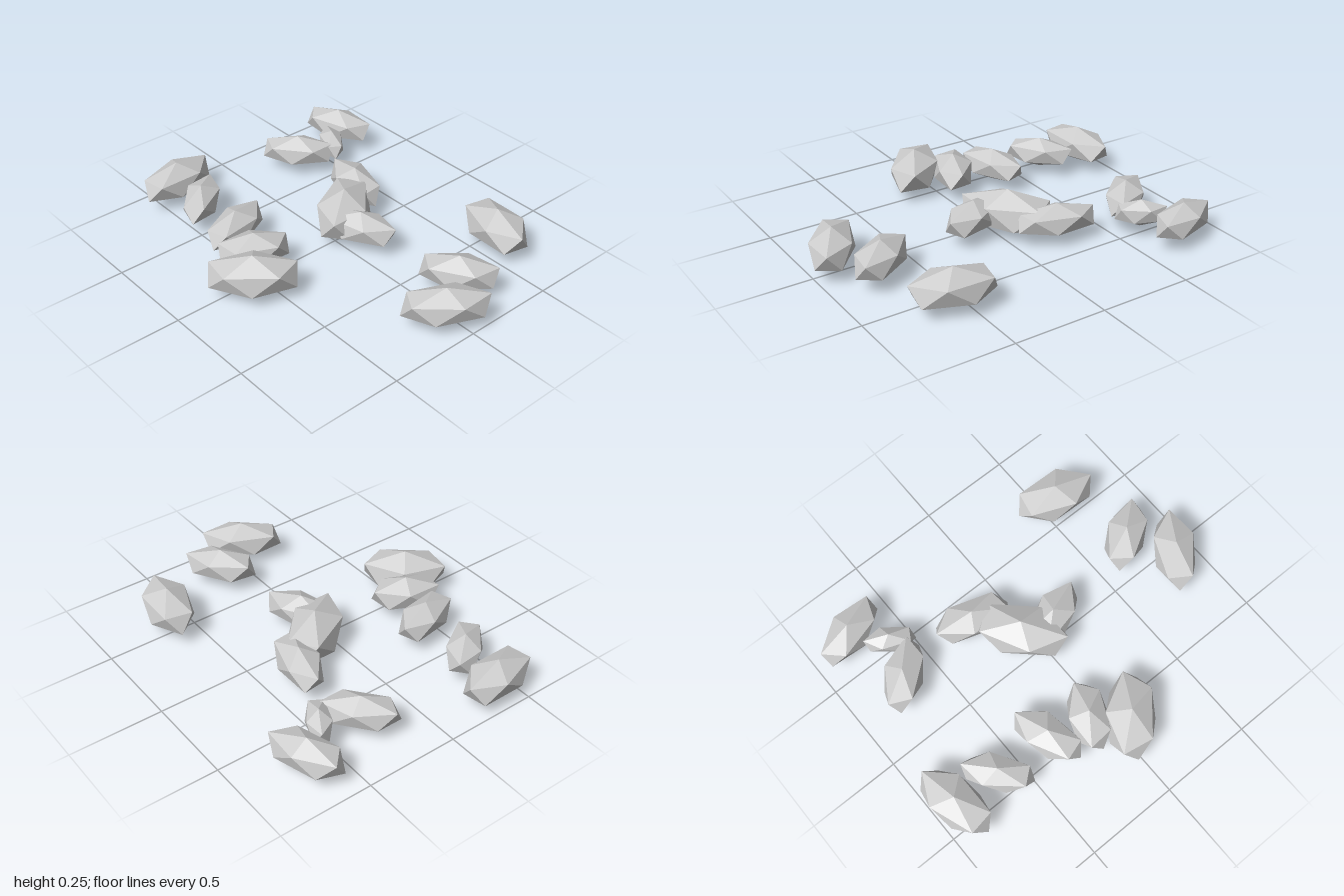
import * as THREE from 'three';

// x, z, heading (degrees in plan), half length, half width, half height, spin of the facets
const STONES = [
  // left row, back to front
  [-0.38, -0.885, -10, 0.22, 0.115, 0.1, 0],
  [-0.4, -0.63, -40, 0.19, 0.092, 0.085, 0],
  [-0.41, -0.315, -18, 0.2, 0.1, 0.09, 0],
  [-0.465, -0.09, 25, 0.185, 0.105, 0.095, -18],
  [-0.6, 0.077, 40, 0.23, 0.13, 0.113, -18],
  // middle heap
  [0.115, -0.06, 143, 0.25, 0.135, 0.123, 0],
  [0.33, -0.215, -76, 0.212, 0.102, 0.09, -10],
  [0.07, 0.12, 68, 0.2, 0.1, 0.09, 0],
  // back right
  [0.31, -0.68, 48, 0.2, 0.1, 0.09, -12],
  [0.51, -0.62, -60, 0.135, 0.065, 0.075, 0],
  [0.68, -0.755, 72, 0.205, 0.102, 0.092, -15],
  // front right
  [0.605, 0.577, 102, 0.22, 0.125, 0.105, 0],
  [0.18, 0.72, 55, 0.2, 0.105, 0.093, -10],
  [-0.055, 0.862, 33, 0.22, 0.112, 0.1, 0],
];

const RING = 2 / Math.sqrt(5); // radius of the facet rings on a unit icosahedron
const TIP = Math.atan(2 / (1 + Math.sqrt(5))); // turn that stands it on a corner
const CENTRE_Y = 0.123;

export function createModel() {
  const group = new THREE.Group();
  group.name = 'scatteredStones';
  const material = new THREE.MeshStandardMaterial({ color: 0xcccccc, flatShading: true });
  const rad = THREE.MathUtils.degToRad;

  STONES.forEach(([x, z, heading, length, width, height, spin], i) => {
    // a faceted ball on its corner, stretched into a long stone
    const geometry = new THREE.IcosahedronGeometry(1, 0)
      .rotateZ(TIP)
      .rotateY(Math.PI - rad(spin))
      .scale(length / RING, height, width / RING);
    const stone = new THREE.Mesh(geometry, material);
    stone.name = `stone${i + 1}`;
    stone.position.set(x, CENTRE_Y, z);
    stone.rotation.y = -rad(heading);
    group.add(stone);
  });
  return group;
}
